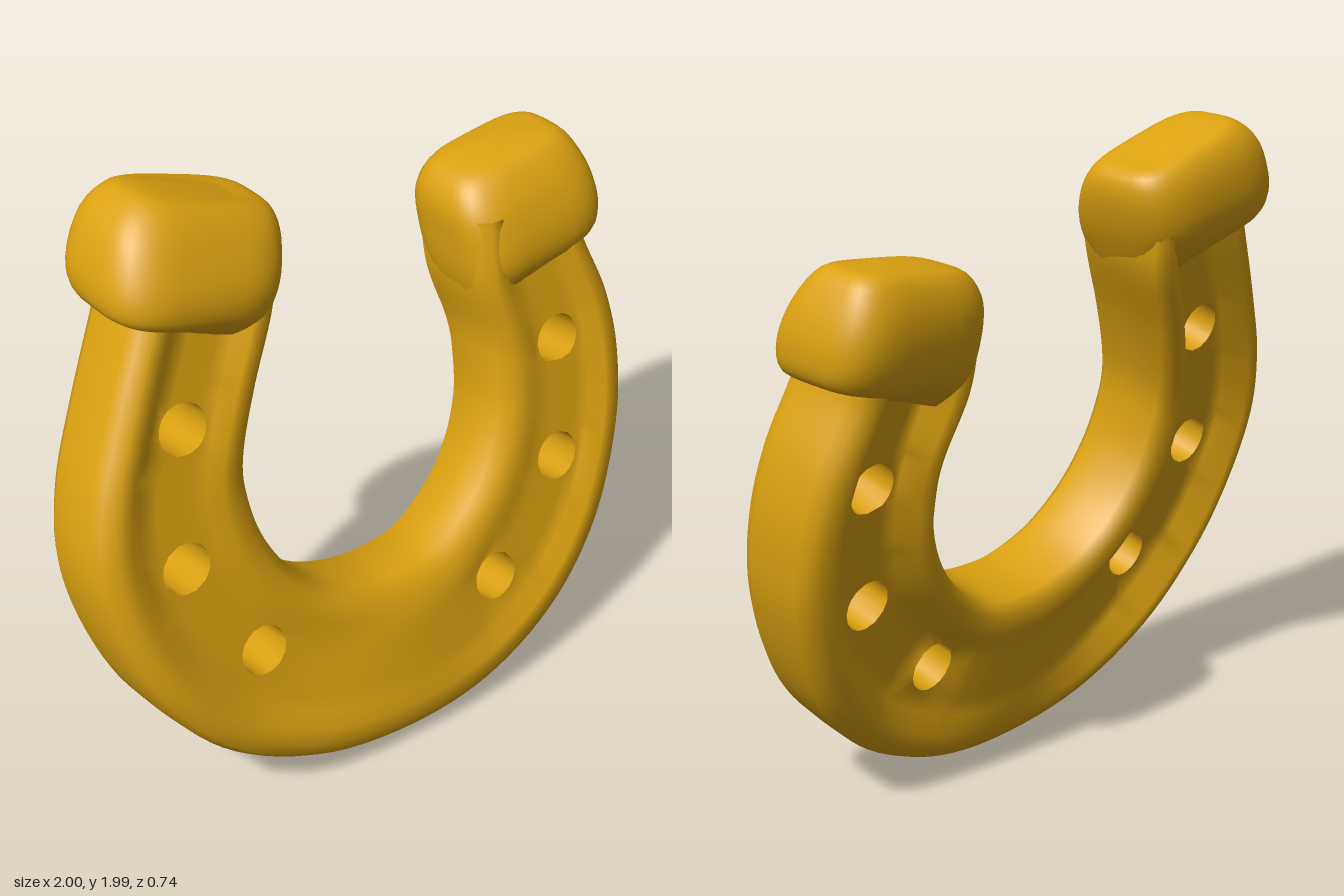
import * as THREE from 'three';

const gold = new THREE.MeshStandardMaterial({ color: 0xdba110 });
gold.name = 'gold';

// The shoe lies in a plane leaning back; h is the distance from that plane
const NORMAL = new THREE.Vector3(0.035, 0.222, 1).normalize();
const onPlane = (x, y, h) =>
  new THREE.Vector3(x, y, 0.225 - 0.222 * y - 0.035 * x).addScaledVector(NORMAL, h);

function meshFrom(name, points, index) {
  const g = new THREE.BufferGeometry().setFromPoints(points);
  g.setIndex(index);
  g.computeVertexNormals();
  const m = new THREE.Mesh(g, gold);
  m.name = name;
  return m;
}

// Smooth curve through rows of numbers
const curveOf = (rows, a, b, c) => new THREE.CatmullRomCurve3(
  rows.map(r => new THREE.Vector3(r[a], r[b], c === undefined ? 0 : r[c])), false, 'catmullrom');

// Stations around the shoe: outer x, y and inner x, y
const STATIONS = [
  [-0.67, 1.79, -0.265, 1.71], [-0.74, 1.65, -0.29, 1.57], [-0.865, 1.40, -0.385, 1.36],
  [-0.96, 1.18, -0.45, 1.17], [-1.00, 0.95, -0.46, 1.04], [-0.95, 0.69, -0.43, 0.885],
  [-0.84, 0.455, -0.35, 0.74], [-0.64, 0.23, -0.23, 0.63], [-0.33, 0.07, -0.09, 0.575],
  [0.04, 0.02, 0.04, 0.56], [0.36, 0.065, 0.19, 0.58], [0.64, 0.21, 0.33, 0.67],
  [0.84, 0.435, 0.43, 0.79], [0.96, 0.73, 0.49, 0.935], [0.99, 0.98, 0.505, 1.08],
  [0.96, 1.20, 0.50, 1.20], [0.88, 1.42, 0.46, 1.38], [0.88, 1.56, 0.465, 1.57],
];
const HOLES = [[-0.645, 1.315], [-0.71, 0.90], [-0.50, 0.535], [0.385, 0.41], [0.69, 0.715], [0.735, 1.105]];
const HOLE_RADIUS = 0.08;
const HALF = 0.167;

// Half of the cross-section: position from outer to inner edge, height, groove share, share of the inner rim
const PROFILE = [
  [0, 0.58, 0, 0], [0.035, 0.82, 0, 0], [0.11, 0.96, 0, 0], [0.2, 1, 0, 0], [0.29, 1, 1, 0],
  [0.4, 1, 1, 0], [0.51, 1, 1, 0], [0.62, 1, 1, 0], [0.73, 1, 0.95, 0], [0.82, 1, 0.15, 0.7],
  [0.93, 0.96, 0, 1], [1, 0.74, 0, 1],
];
const FIRST = 4, LAST = 8;

function buildBody(group) {
  const steps = 6, rows = (STATIONS.length - 1) * steps, n = PROFILE.length;
  const around = 2 * n + 2, mirror = j => 2 * n - j;
  const outer = curveOf(STATIONS, 0, 1), inner = curveOf(STATIONS, 2, 3);
  // Groove is deep along the legs and fades at the toe
  const fromToe = i => Math.abs(i / steps - 9);
  const depth = (i, front) =>
    (front ? 0.22 : 0.42) * (0.2 + 0.8 * THREE.MathUtils.smoothstep(fromToe(i), 0, 2.3));

  const section = i => {
    // The inner rim is lower in front and swells until it meets the heel blocks
    const swell = 0.17 * THREE.MathUtils.smoothstep(fromToe(i), 5, 7.8);
    const face = front => PROFILE.map(([s, h, g, r]) =>
      [s, (front ? 1 : -1) * HALF * (h - g * depth(i, front) + r * (front ? swell - 0.12 : swell))]);
    return [...face(true), [1.01, 0], ...face(false).reverse(), [-0.005, 0]];
  };
  const points = [], index = [];
  for (let i = 0; i <= rows; i++) {
    const a = outer.getPoint(i / rows), b = inner.getPoint(i / rows);
    for (const [s, h] of section(i)) {
      points.push(onPlane(a.x + (b.x - a.x) * s, a.y + (b.y - a.y) * s, h));
    }
  }
  const id = (i, j) => i * around + (j % around);

  // Block of grid cells that each nail hole replaces
  const blocks = HOLES.map(([x, y]) => {
    let best = 0, dist = Infinity;
    for (let i = 0; i <= rows; i++) {
      const p = outer.getPoint(i / rows).lerp(inner.getPoint(i / rows), 0.51);
      const d = Math.hypot(p.x - x, p.y - y);
      if (d < dist) { dist = d; best = i; }
    }
    return { x, y, mid: best, from: best - 3, to: best + 3 };
  });
  const cut = (i, j) => {
    const inFront = j >= FIRST && j < LAST;
    const inBack = j >= mirror(LAST) && j < mirror(FIRST);
    return (inFront || inBack) && blocks.some(b => i >= b.from && i < b.to);
  };
  for (let i = 0; i < rows; i++) {
    for (let j = 0; j < around; j++) {
      if (cut(i, j)) continue;
      const a = id(i, j), b = id(i + 1, j), c = id(i + 1, j + 1), d = id(i, j + 1);
      index.push(a, b, c, a, c, d);
    }
  }

  // Nail holes: a collar on each face and a wall through the shoe
  for (const hole of blocks) {
    const loop = [];
    for (let i = hole.from; i < hole.to; i++) loop.push([i, FIRST]);
    for (let j = FIRST; j < LAST; j++) loop.push([hole.to, j]);
    for (let i = hole.to; i > hole.from; i--) loop.push([i, LAST]);
    for (let j = LAST; j > FIRST; j--) loop.push([hole.from, j]);
    const count = loop.length, wall = [], wallIndex = [];
    const angles = loop.map(([i, j]) => {
      const p = outer.getPoint(i / rows).lerp(inner.getPoint(i / rows), PROFILE[j][0]);
      return Math.atan2(p.y - hole.y, p.x - hole.x);
    });
    for (const front of [true, false]) {
      const h = (front ? 1 : -1) * HALF * (1 - depth(hole.mid, front));
      const start = points.length;
      angles.forEach(t => {
        const p = onPlane(hole.x + HOLE_RADIUS * Math.cos(t), hole.y + HOLE_RADIUS * Math.sin(t), h);
        points.push(p);
        wall.push(p.clone());
      });
      loop.forEach(([i, j], k) => {
        const m = (k + 1) % count, [i2, j2] = loop[m];
        const o = id(i, front ? j : mirror(j)), o2 = id(i2, front ? j2 : mirror(j2));
        if (front) index.push(o, o2, start + m, o, start + m, start + k);
        else index.push(o, start + m, o2, o, start + k, start + m);
      });
    }
    for (let k = 0; k < count; k++) {
      const m = (k + 1) % count;
      wallIndex.push(k, m, count + m, k, count + m, count + k);
    }
    group.add(meshFrom('nailHoleWall', wall, wallIndex));
  }
  group.add(meshFrom('shoeBody', points, index));
}

// Heel block: soft square loops; rows are right x, y, left x, y, half depth
function heelBlock(name, offset, rows) {
  const right = curveOf(rows, 0, 1, 4), left = curveOf(rows, 2, 3, 4);
  const rings = 20, around = 40, points = [], index = [];
  const soft = v => Math.sign(v) * Math.pow(Math.abs(v), 0.56);
  for (let i = 0; i <= rings; i++) {
    const a = right.getPoint(i / rings), b = left.getPoint(i / rings);
    for (let j = 0; j < around; j++) {
      const t = (j / around) * Math.PI * 2, c = (1 + soft(Math.cos(t))) / 2;
      const h = -soft(Math.sin(t)) * a.z;
      // Loops stay nearly level from front to back
      points.push(onPlane(a.x + (b.x - a.x) * c, a.y + (b.y - a.y) * c - 0.17 * h, h + offset));
    }
  }
  const end = rows[rows.length - 1], tip = points.length;
  points.push(onPlane((end[0] + end[2]) / 2, (end[1] + end[3]) / 2 + 0.01, offset));
  for (let j = 0; j < around; j++) {
    const k = (j + 1) % around;
    for (let i = 0; i < rings; i++) {
      const p = i * around, q = p + around;
      index.push(p + j, q + j, q + k, p + j, q + k, p + k);
    }
    index.push(rings * around + j, tip, rings * around + k);
  }
  return meshFrom(name, points, index);
}

export function createModel() {
  const model = new THREE.Group();
  model.name = 'horseshoe';
  buildBody(model);
  model.add(heelBlock('rightHeelBlock', 0, [
    [-0.335, 1.49, -0.70, 1.66, 0.12], [-0.28, 1.585, -0.785, 1.695, 0.195],
    [-0.235, 1.68, -0.79, 1.79, 0.217], [-0.205, 1.79, -0.73, 1.92, 0.185],
    [-0.225, 1.86, -0.64, 1.985, 0.13], [-0.32, 1.89, -0.56, 1.98, 0.06],
  ]));
  model.add(heelBlock('leftHeelBlock', -0.017, [
    [0.87, 1.42, 0.48, 1.29, 0.12], [0.955, 1.45, 0.45, 1.39, 0.187],
    [0.975, 1.54, 0.435, 1.49, 0.205], [0.95, 1.65, 0.43, 1.61, 0.185],
    [0.89, 1.745, 0.475, 1.695, 0.13], [0.80, 1.755, 0.57, 1.73, 0.06],
  ]));
  return model;
}
